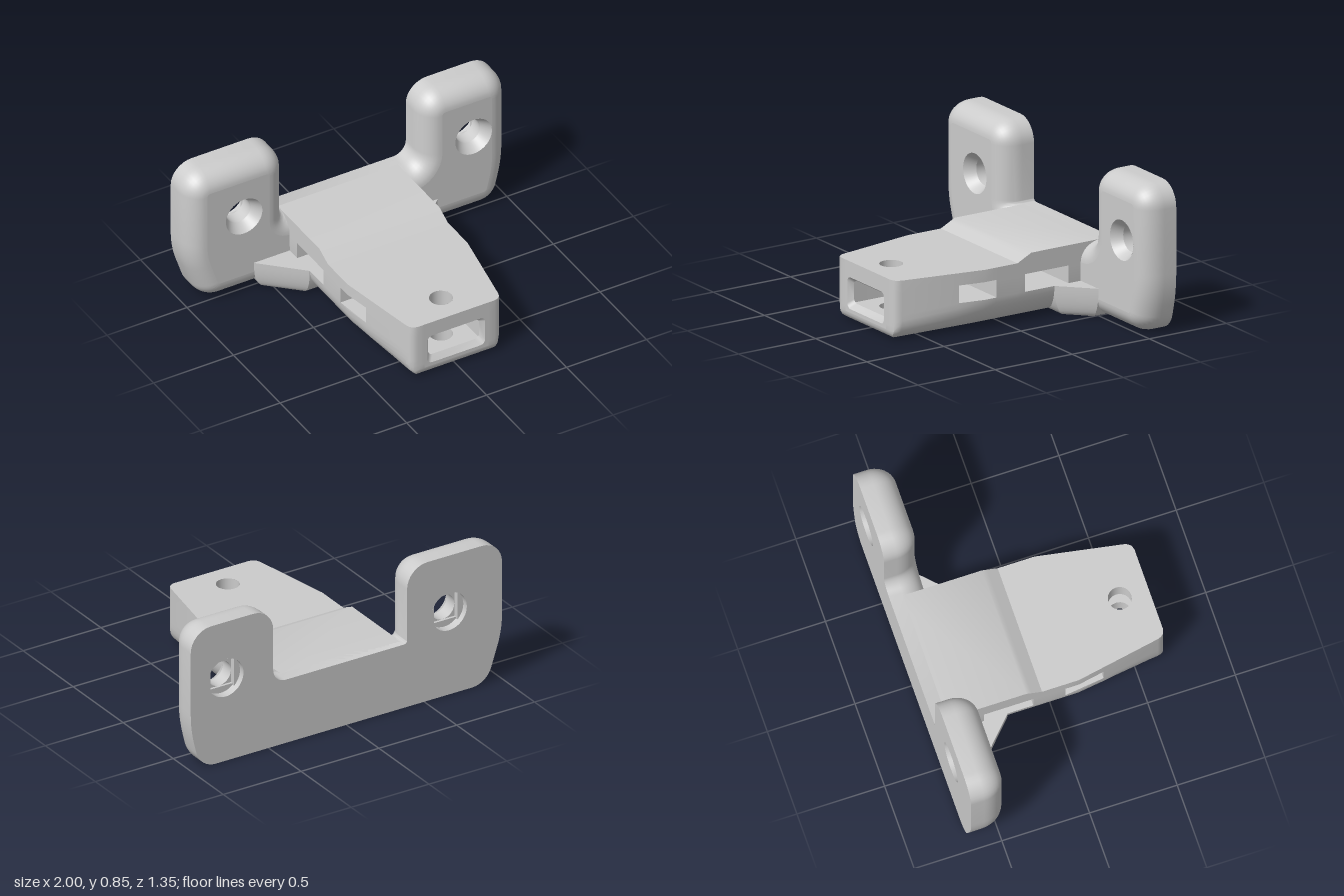
import * as THREE from 'three';
import { toCreasedNormals } from 'three/addons/utils/BufferGeometryUtils.js';

const material = new THREE.MeshStandardMaterial({ color: 0xcccccc, side: THREE.DoubleSide });
const BACK = -0.675, FRONT = 0.675, PLATE_FRONT = -0.47, DECK = 0.385;

function add(group, name, geometry) {
  const mesh = new THREE.Mesh(geometry, material);
  mesh.name = name;
  group.add(mesh);
  return mesh;
}

// Skin between rings of [x, y, z]; skip(a, b, d) leaves openings
function loft(rings, closed = true, skip = () => false) {
  const out = [];
  for (let k = 0; k + 1 < rings.length; k++) {
    const n = rings[k].length;
    for (let i = 0; i < (closed ? n : n - 1); i++) {
      const j = (i + 1) % n;
      const a = rings[k][i], b = rings[k][j], c = rings[k + 1][j], d = rings[k + 1][i];
      if (!skip(a, b, d)) out.push(...a, ...b, ...c, ...a, ...c, ...d);
    }
  }
  const g = new THREE.BufferGeometry();
  g.setAttribute('position', new THREE.Float32BufferAttribute(out, 3));
  return toCreasedNormals(g, 0.6);
}

const circle = (x, y, r) => new THREE.Path().absarc(x, y, r, 0, Math.PI * 2, true);
const v2 = (pts) => pts.map(([x, y]) => new THREE.Vector2(x, y));

// Flat face in the xy plane
function face(pts, holes = []) {
  const shape = new THREE.Shape(v2(pts));
  shape.holes.push(...holes);
  return new THREE.ShapeGeometry(shape, 24);
}

// Horizontal face from [x, z] points, with an optional round hole [z, r]
function level(pts, y, up, hole) {
  const s = up ? -1 : 1;
  const holes = hole ? [circle(0, s * hole[0], hole[1])] : [];
  return face(pts.map(([x, z]) => [x, s * z]), holes).rotateX(s * Math.PI / 2).translate(0, y, 0);
}

// Polygon of [x, y, radius] corners (counter-clockwise) to points with outward normals
function roundedOutline(corners, steps = 8) {
  const out = [];
  corners.forEach(([x, y, r], i) => {
    const n = corners.length, p = new THREE.Vector2(x, y);
    const u = new THREE.Vector2(...corners[(i + n - 1) % n]).sub(p).normalize();
    const v = new THREE.Vector2(...corners[(i + 1) % n]).sub(p).normalize();
    const half = Math.acos(u.dot(v)) / 2, sign = u.cross(v) < 0 ? 1 : -1;
    const centre = u.clone().add(v).normalize().multiplyScalar(r / Math.sin(half)).add(p);
    const start = u.clone().multiplyScalar(r / Math.tan(half)).add(p).sub(centre);
    const sweep = sign * (Math.PI - 2 * half);
    for (let k = 0; k <= steps; k++) {
      const q = start.clone().rotateAround(new THREE.Vector2(), sweep * k / steps);
      out.push({ x: centre.x + q.x, y: centre.y + q.y, nx: sign * q.x / r, ny: sign * q.y / r });
    }
  });
  return out;
}

const roundedRect = (x, y0, y1, r) =>
  roundedOutline([[-x, y0, r], [x, y0, r], [x, y1, r], [-x, y1, r]], 5).map((p) => [p.x, p.y]);

// U-shaped wall plate with a rolled front edge and two screw holes
function buildPlate() {
  const g = new THREE.Group();
  g.name = 'wallPlate';
  const outline = roundedOutline([
    [-0.9, 0, 0.13], [0.94, 0, 0.13], [1, 0.25, 0.8], [1, 0.845, 0.13], [0.47, 0.845, 0.13],
    [0.47, DECK, 0.08], [-0.39, DECK, 0.02], [-0.39, 0.845, 0.13], [-1, 0.845, 0.13], [-1, 0.3, 0.6],
  ]);
  const inset = (d) => outline.map((p) => [p.x - p.nx * d, p.y - p.ny * d]);
  const roll = 0.11, depth = 0.13;
  const rings = [inset(0).map(([x, y]) => [x, y, BACK])];
  for (let k = 0; k <= 10; k++) {
    const a = (k / 10) * Math.PI / 2;
    const z = PLATE_FRONT - depth + depth * Math.sin(a);
    rings.push(inset(roll * (1 - Math.cos(a))).map(([x, y]) => [x, y, z]));
  }
  add(g, 'plateEdge', loft(rings));
  const screws = [[-0.66, 0.505], [0.775, 0.505]], R = 0.114;
  const holes = () => screws.map(([x, y]) => circle(x, y, R));
  add(g, 'plateFront', face(inset(roll), holes())).position.z = PLATE_FRONT;
  add(g, 'plateBack', face(inset(0), holes())).position.z = BACK;

  // Countersunk bore with a recess behind
  const profile = v2([[R, BACK], [R, -0.61], [0.075, -0.61], [0.075, -0.53], [R, PLATE_FRONT]]);
  for (const [x, y] of screws) {
    const bore = new THREE.LatheGeometry(profile, 40).rotateX(Math.PI / 2).toNonIndexed();
    add(g, 'screwHole', toCreasedNormals(bore, 0.5)).position.set(x, y, 0);
    // Stepped ledges across the recess
    for (let k = 0; k < 4; k++) {
      const half = Math.acos(0.075 / R);
      const ledge = new THREE.Shape().absarc(0, 0, R, -half, half, false);
      const thick = k % 2 ? 0.015 : 0.03;
      const geo = new THREE.ExtrudeGeometry(ledge, { depth: thick, bevelEnabled: false, curveSegments: 8 });
      const mesh = add(g, 'recessLedge', geo.rotateZ(k * Math.PI / 2));
      mesh.position.set(x, y, -0.61 - thick);
    }
  }
  return g;
}

// Tapered arm with a raised deck, strap slots and a hollow tip
function buildArm() {
  const g = new THREE.Group();
  g.name = 'arm';
  const W = 0.375, FLAT = 0.2, END = -0.67, PIN = [0.51, 0.065];
  const slots = [[0.075, 0.3], [-0.39, -0.11]];
  const side = [[W, END], [W, -0.39], [W, -0.15], [W, -0.12], [W, -0.11], [W, -0.06], [W, 0.075],
    [W, 0.15], [0.348, 0.3], [0.288, 0.63], [0.28, 0.652], [0.265, 0.668], [0.24, FRONT], [FLAT, FRONT]];
  const plan = [...side.map(([x, z]) => [-x, z]), ...[...side].reverse()];
  const topY = (z) => z >= -0.06 ? 0.34 : z >= -0.12 ? 0.34 + (-0.06 - z) * 0.5
    : z >= -0.15 ? 0.37 + (-0.12 - z) * 0.5 : DECK;

  // Lower side edges and tip edge are rounded
  const ringAt = (y) => plan.map(([x, z]) => {
    const r = Math.abs(x) - FLAT;
    const s = y < r ? Math.sqrt(1 - ((r - y) / r) ** 2) : 1;
    const f = y < 0.05 ? 0.05 - Math.sqrt(0.05 ** 2 - (0.05 - y) ** 2) : 0;
    return [Math.sign(x) * (FLAT + r * s), y, Math.min(z, FRONT - f)];
  });
  const rings = [0, 0.003, 0.01, 0.02, 0.035, 0.05, 0.08, 0.11, 0.14, 0.17, 0.27].map(ringAt);
  rings.push(plan.map(([x, z]) => [x, topY(z), z]));
  const e = 1e-6;
  const opening = (a, b, d) => {
    if (a[2] > 0.67 && b[2] > 0.67 && Math.max(Math.abs(a[0]), Math.abs(b[0])) < FLAT + e)
      return a[1] > 0.05 - e && d[1] < 0.27 + e;
    return a[1] > 0.17 - e && d[1] < 0.27 + e && a[0] * b[0] > 0 && slots.some(([z0, z1]) =>
      Math.min(a[2], b[2]) > z0 - e && Math.max(a[2], b[2]) < z1 + e);
  };
  add(g, 'armWalls', loft(rings, true, opening));
  add(g, 'armBottom', level([[-FLAT, END], [FLAT, END], [FLAT, 0.625], [-FLAT, 0.625]], 0, false, PIN));
  add(g, 'armTop', level(plan.filter((p) => p[1] > -0.07), 0.34, true, PIN));
  add(g, 'raisedDeck', loft([-0.06, -0.12, -0.15, END].map((z) => [[-W, topY(z), z], [W, topY(z), z]]), false));

  // Strap slots straight through the arm
  for (const [z0, z1] of slots) {
    const ring = (s) => [[0.17, z0], [0.17, z1], [0.27, z1], [0.27, z0]]
      .map(([y, z]) => [s * (z > 0.2 ? 0.348 : W), y, z]);
    add(g, 'strapSlot', loft([ring(-1), ring(1)]));
  }

  // Tip window with a chamfered lip
  const outer = roundedRect(0.18, 0.07, 0.25, 0.03), inner = roundedRect(0.16, 0.1, 0.23, 0.03);
  add(g, 'tipFrame', face([[-FLAT, 0.05], [FLAT, 0.05], [FLAT, 0.27], [-FLAT, 0.27]],
    [new THREE.Path(v2(outer))])).position.z = FRONT;
  add(g, 'windowLip', loft([outer.map((p) => [...p, FRONT]), inner.map((p) => [...p, 0.645])]));

  // Pocket behind the window, crossed by the pin hole
  const pocket = [[0.16, 0.645]];
  for (let k = 0; k <= 8; k++) {
    const a = (k / 8) * Math.PI / 2;
    pocket.push([0.06 + 0.1 * Math.cos(a), 0.47 - 0.1 * Math.sin(a)]);
  }
  pocket.push(...[...pocket].reverse().map(([x, z]) => [-x, z]));
  add(g, 'pocketWall', loft([0.1, 0.23].map((y) => pocket.map(([x, z]) => [x, y, z])), false));
  add(g, 'pocketFloor', level(pocket, 0.1, true, PIN));
  add(g, 'pocketCeiling', level(pocket, 0.23, false, PIN));
  for (const [y0, y1] of [[0, 0.1], [0.23, 0.34]]) {
    const hole = new THREE.CylinderGeometry(PIN[1], PIN[1], y1 - y0, 32, 1, true);
    add(g, 'pinHole', hole).position.set(0, (y0 + y1) / 2, PIN[0]);
  }
  return g;
}

// Corner brace between arm and plate, rounded underneath
function buildGusset(s, reach, tip) {
  const g = new THREE.Group();
  g.name = s > 0 ? 'leftGusset' : 'rightGusset';
  const plan = (d) => [[reach - d, -0.6], [reach - d, PLATE_FRONT], [0.375, tip - d], [0.2, tip - d], [0.2, -0.6]]
    .map(([x, z]) => [s * x, z]);
  const rings = [];
  for (let k = 0; k <= 8; k++) {
    const a = (k / 8) * Math.PI / 2;
    const ring = plan(0.06 * (1 - Math.sin(a))).map(([x, z]) => [x, 0.17 * (1 - Math.cos(a)), z]);
    rings.push(s > 0 ? ring.reverse() : ring);
  }
  add(g, 'gussetWall', loft(rings));
  add(g, 'gussetTop', level(plan(0), 0.17, true));
  add(g, 'gussetBottom', level(plan(0.06), 0, false));
  return g;
}

export function createModel() {
  const model = new THREE.Group();
  model.name = 'wallBracket';
  model.add(buildPlate(), buildArm(), buildGusset(-1, 0.6, -0.255), buildGusset(1, 0.55, -0.3));
  return model;
}
